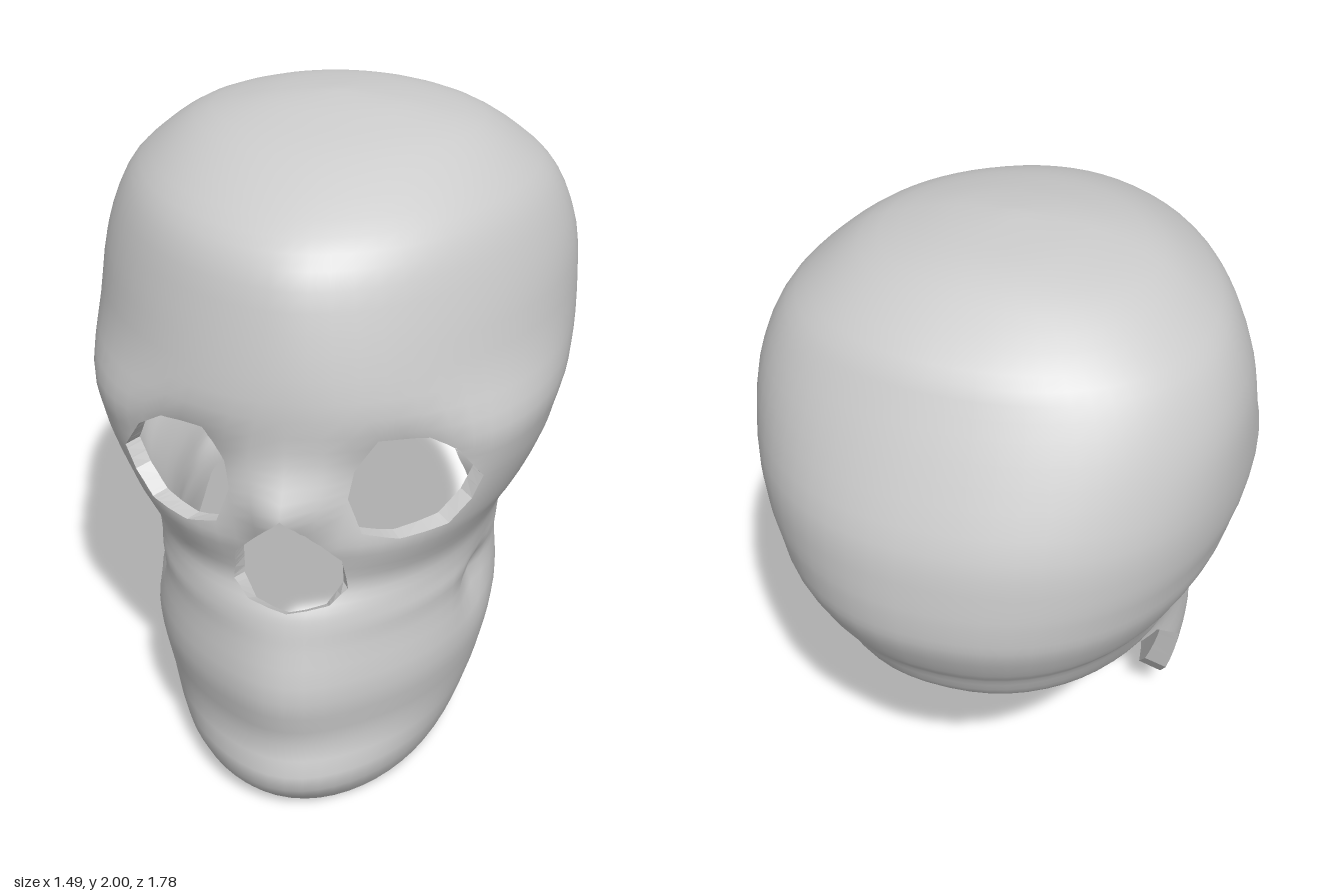
import * as THREE from 'three';

const COLUMNS = 64, STEPS = 3;

// Horizontal sections: height, front z, back z, half width, z of widest point, front roundness
const SECTIONS = [
  [-.06, .72, -.3, .4, .1, 2.1], [.1, .845, -.35, .465, .1, 2.1], [.25, .8, -.4, .515, .1, 2.1],
  [.42, .825, -.45, .545, .1, 2.1], [.58, .81, -.5, .535, .09, 2.05], [.65, .805, -.52, .54, .08, 2.05],
  [.7, .795, -.66, .545, .04, 2.05], [.77, .765, -.745, .56, .03, 2.1], [.86, .785, -.79, .6, .02, 2.2],
  [.92, .8, -.83, .64, 0, 2.2], [1.03, .8, -.88, .69, -.02, 2.3], [1.12, .8, -.89, .715, -.03, 2.4],
  [1.22, .8, -.885, .74, -.05, 2.35], [1.37, .8, -.86, .745, -.1, 1.95], [1.56, .765, -.77, .73, -.13, 1.82],
  [1.72, .71, -.68, .67, -.13, 1.8], [1.82, .59, -.61, .58, -.1, 1.85], [1.92, .37, -.46, .44, -.07, 1.9],
  [1.97, .17, -.34, .27, -.05, 2], [1.99, .05, -.2, .14, -.05, 2], [2, -.05, -.05, 0, -.05, 2],
];

// Openings as convex counter-clockwise outlines
const EYE = [[.53, 1.07], [.465, 1.18], [.385, 1.235], [.25, 1.245], [.185, 1.15],
  [.17, 1.07], [.21, .96], [.31, .925], [.44, .93], [.5, .995]];
const NOSE = [[0, 1.05], [-.155, .87], [-.168, .76], [-.12, .72], [0, .7],
  [.12, .72], [.168, .76], [.155, .87]];
// Lower edge of jaw and cranium from chin to back, as (z, y)
const LOWER_EDGE = [[1, -.036], [.17, .12], [.11, .2], [.08, .4], [-.13, .595], [-.35, .642], [-1.2, .643]];

const bell = (d, width) => Math.exp(-((d / width) ** 2));
const power = (v, p) => Math.sign(v) * Math.abs(v) ** p;

function surfacePoint([y, front, back, width, mid, roundness], angle) {
  const c = Math.cos(angle), n = 2 / (c > 0 ? roundness : 2.2);
  let x = width * power(Math.sin(angle), n);
  let z = mid + (c > 0 ? front - mid : mid - back) * power(c, n);
  if (c > 0) {
    z += .09 * bell(y - 1.04, .1) * bell(x, .1);                        // nose bridge
    z += .06 * bell(y - .37, .35) * bell(x, .2);                        // teeth and chin
    z -= .09 * bell(Math.abs(x) - .33, .16) * bell(y - 1.13, .13);      // eye sockets
    x *= 1 - .08 * bell(z - .32, .1) * bell(y - .58, .08);              // hollow below cheekbone
  }
  return new THREE.Vector3(x, y, z);
}

// Closed head surface as triangles of { p, n } corners
function headTriangles() {
  const last = SECTIONS.length - 1, rows = last * STEPS;
  const blend = new THREE.CubicInterpolant(SECTIONS.map((_, i) => i), SECTIONS.flat(), 6);
  const points = [], index = [];
  for (let i = 0; i <= rows; i++) {
    const section = [...blend.evaluate(i / STEPS)];
    for (let j = 0; j < COLUMNS; j++) points.push(surfacePoint(section, j / COLUMNS * Math.PI * 2));
  }
  for (let i = 0; i < rows; i++) {
    for (let j = 0; j < COLUMNS; j++) {
      const a = i * COLUMNS + j, b = i * COLUMNS + (j + 1) % COLUMNS;
      index.push(a, b, b + COLUMNS);
      if (i < rows - 1) index.push(a, b + COLUMNS, a + COLUMNS);
    }
  }
  const g = new THREE.BufferGeometry().setFromPoints(points);
  g.setIndex(index);
  g.computeVertexNormals();
  const corners = points.map((p, i) => ({
    p, n: i >= rows * COLUMNS ? new THREE.Vector3(0, 1, 0)
      : new THREE.Vector3().fromBufferAttribute(g.attributes.normal, i),
  }));
  const triangles = [];
  for (let k = 0; k < index.length; k += 3) triangles.push(index.slice(k, k + 3).map(i => corners[i]));
  return triangles;
}

// Signed distance of a corner from one edge of a cutter, positive inside
function edgeDistance(cutter, k, corner) {
  const [ax, ay] = cutter.outline[k], [bx, by] = cutter.outline[(k + 1) % cutter.outline.length];
  const dx = bx - ax, dy = by - ay;
  return (dx * (corner.p.y - ay) - dy * (corner.p[cutter.axis] - ax)) / Math.hypot(dx, dy);
}

function split(poly, cutter, k) {
  const inside = [], outside = [];
  poly.forEach((a, i) => {
    const b = poly[(i + 1) % poly.length];
    const da = edgeDistance(cutter, k, a), db = edgeDistance(cutter, k, b);
    if (da >= 0) inside.push(a);
    if (da <= 0) outside.push(a);
    if (da * db < 0) {
      const t = da / (da - db);
      const cut = { p: a.p.clone().lerp(b.p, t), n: a.n.clone().lerp(b.n, t).normalize() };
      inside.push(cut);
      outside.push(cut);
    }
  });
  return [inside, outside];
}

// Removes a cutter's area and records the cut edges
function subtract(polys, cutter, cutEdges) {
  const kept = [];
  for (const poly of polys) {
    if (cutter.axis === 'x' && poly.some(c => c.p.z < 0.1)) { kept.push(poly); continue; }
    const outs = [];
    let rest = poly;
    for (let k = 0; k < cutter.outline.length && rest.length > 2; k++) {
      const [inside, outside] = split(rest, cutter, k);
      if (outside.length > 2) outs.push(outside);
      rest = inside;
    }
    if (rest.length < 3) { kept.push(poly); continue; }
    kept.push(...outs);
    rest.forEach((a, i) => {
      const b = rest[(i + 1) % rest.length];
      for (let k = 0; k < cutter.walls; k++) {
        if (Math.abs(edgeDistance(cutter, k, a)) < 1e-7 && Math.abs(edgeDistance(cutter, k, b)) < 1e-7) {
          cutEdges.push([a, b]);
          break;
        }
      }
    });
  }
  return kept;
}

// Matching corner on the inner surface; the bone thickens towards the chin
function inward({ p, n }) {
  const thickness = .05 + .035 * bell(p.y, .45);
  return { p: p.clone().addScaledVector(n, -thickness), n: n.clone().negate() };
}

function meshFrom(name, polys, flatShading = false) {
  const position = [], normal = [];
  for (const poly of polys) {
    for (let i = 1; i < poly.length - 1; i++) {
      for (const c of [poly[0], poly[i], poly[i + 1]]) {
        position.push(...c.p.toArray());
        normal.push(...c.n.toArray());
      }
    }
  }
  const g = new THREE.BufferGeometry();
  g.setAttribute('position', new THREE.Float32BufferAttribute(position, 3));
  g.setAttribute('normal', new THREE.Float32BufferAttribute(normal, 3));
  if (flatShading) g.computeVertexNormals();
  const mesh = new THREE.Mesh(g, new THREE.MeshStandardMaterial({ color: 0xcccccc, flatShading }));
  mesh.name = name;
  return mesh;
}

export function createModel() {
  const mirrored = EYE.map(([x, y]) => [-x, y]).reverse();
  const cutters = [EYE, mirrored, NOSE].map(outline => ({ outline, axis: 'x', walls: outline.length }));
  // Open underside, cut in strips below the lower edge
  for (let i = 0; i < LOWER_EDGE.length - 1; i++) {
    const a = LOWER_EDGE[i], b = LOWER_EDGE[i + 1];
    cutters.push({ outline: [a, b, [b[0], -1], [a[0], -1]], axis: 'z', walls: 1 });
  }

  const cutEdges = [];
  let outer = headTriangles();
  for (const cutter of cutters) outer = subtract(outer, cutter, cutEdges);

  const inner = outer.map(poly => poly.map(inward).reverse());
  const rims = cutEdges.map(([a, b]) => [a, b, inward(b), inward(a)]);

  const group = new THREE.Group();
  group.name = 'skull';
  group.add(meshFrom('skullOuterSurface', outer), meshFrom('skullInnerSurface', inner),
    meshFrom('openingRims', rims, true));
  return group;
}
